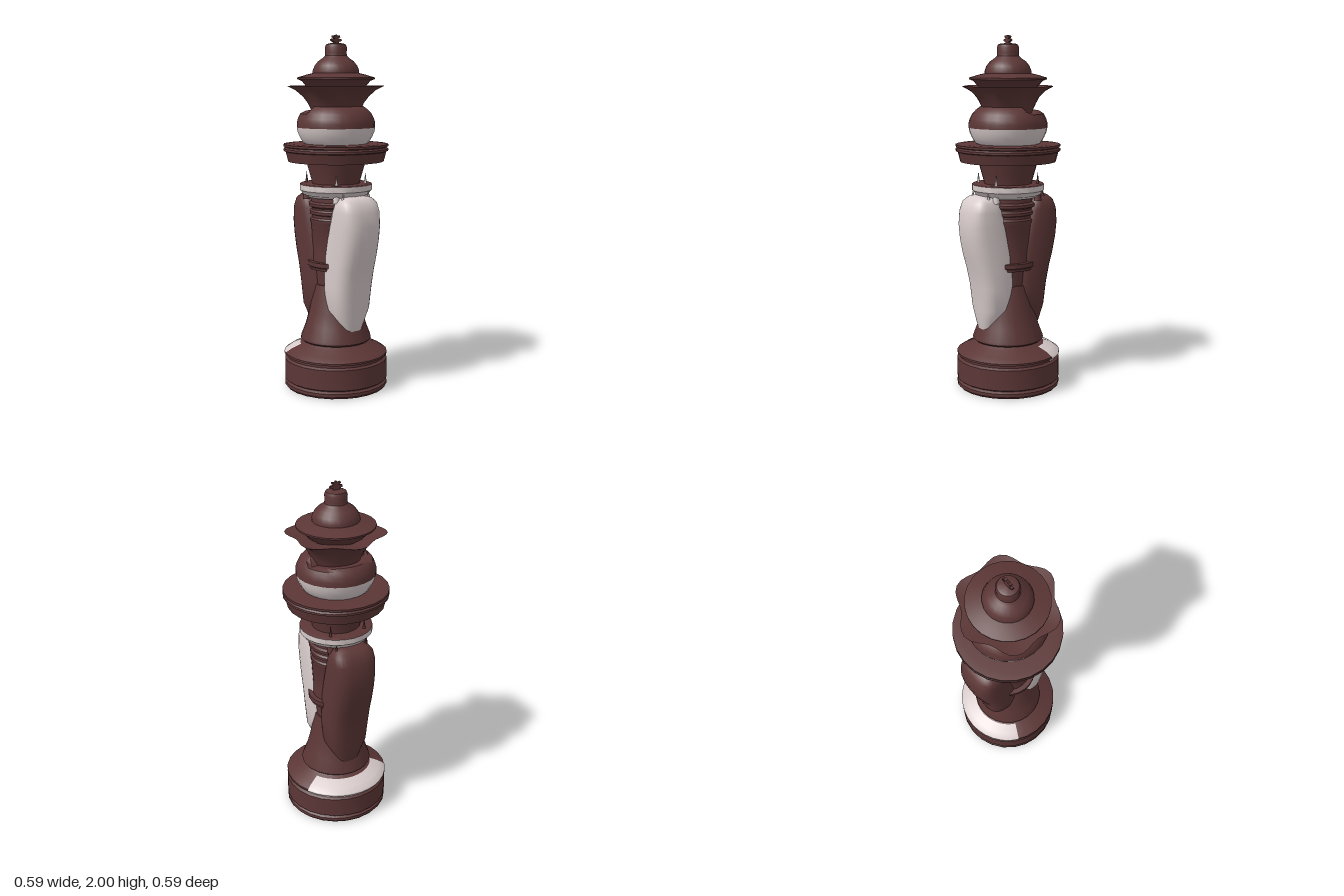
import * as THREE from 'three';
import { toCreasedNormals } from 'three/addons/utils/BufferGeometryUtils.js';

const dark = new THREE.MeshStandardMaterial({ color: 0x5c3636, side: THREE.DoubleSide });
const light = new THREE.MeshStandardMaterial({ color: 0xd9cccc, side: THREE.DoubleSide });
const grey = new THREE.MeshStandardMaterial({ color: 0xcccccc, side: THREE.DoubleSide });

export function createModel() {
  const root = new THREE.Group();

  const add = (name, geo, mat, parent = root) => {
    const mesh = new THREE.Mesh(geo, mat);
    mesh.name = name;
    parent.add(mesh);
    return mesh;
  };
  const lathe = (points, segments = 24, start = 0, sweep = Math.PI * 2) =>
    new THREE.LatheGeometry(points.map(([r, y]) => new THREE.Vector2(r, y)), segments, start, sweep);
  // Move every vertex of a geometry by a rule
  const reshape = (geo, rule) => {
    const p = geo.attributes.position, v = new THREE.Vector3();
    for (let i = 0; i < p.count; i++) {
      rule(v.fromBufferAttribute(p, i));
      p.setXYZ(i, v.x, v.y, v.z);
    }
    geo.computeVertexNormals();
    return geo;
  };
  const turned = (name, points, mat) => add(name, toCreasedNormals(lathe(points), 0.6), mat);

  // Base with grooves and sloping top
  turned('base', [[0.25, 0], [0.285, 0], [0.295, 0.012], [0.295, 0.03], [0.28, 0.04], [0.295, 0.05],
    [0.295, 0.165], [0.28, 0.175], [0.28, 0.188], [0.295, 0.192], [0.295, 0.203], [0.26, 0.225],
    [0.2, 0.25], [0.17, 0.27]], dark);
  turned('baseUnderside', [[0, 0.003], [0.25, 0.003]], grey);
  // Pale patch on the back of the base
  const from = THREE.MathUtils.degToRad(118), sweep = THREE.MathUtils.degToRad(127);
  add('basePatch', lathe([[0.283, 0.176], [0.283, 0.187], [0.297, 0.192], [0.297, 0.204], [0.261, 0.228],
    [0.205, 0.251]], 12, from, sweep), light);

  // Flaring foot of the stem
  turned('foot', [[0.17, 0.265], [0.192, 0.27], [0.203, 0.28], [0.2, 0.295], [0.175, 0.36],
    [0.154, 0.44], [0.137, 0.52], [0.12, 0.6], [0, 0.62]], dark);

  // Inner stem with cup and rings
  turned('stem', [[0.11, 0.55], [0.12, 0.69], [0.148, 0.69], [0.152, 0.705], [0.16, 0.71], [0.16, 0.735],
    [0.132, 0.735], [0.132, 0.8], [0.141, 0.95], [0.146, 0.96], [0.146, 0.975], [0.137, 0.985],
    [0.137, 1.0], [0.148, 1.005], [0.148, 1.02], [0.138, 1.03], [0.138, 1.04], [0.155, 1.05],
    [0.155, 1.065], [0.14, 1.075], [0.14, 1.11]], dark);
  turned('collar', [[0.13, 1.1], [0.16, 1.1], [0.17, 1.11], [0.185, 1.115], [0.198, 1.135],
    [0.205, 1.14], [0.205, 1.172]], light);
  turned('collarTop', [[0.205, 1.172], [0.195, 1.177], [0.13, 1.177]], dark);

  // Front and back figures: rows are [y, inner z, outer z, half width]
  const rows = [[0.3, 0.02, 0.165, 0.05], [0.38, 0.01, 0.187, 0.08], [0.47, 0, 0.2, 0.122],
    [0.6, 0, 0.215, 0.13], [0.7, 0, 0.237, 0.131], [0.78, 0.005, 0.26, 0.132], [0.87, 0.025, 0.278, 0.132],
    [0.95, 0.05, 0.285, 0.132], [1.03, 0.075, 0.277, 0.13], [1.08, 0.095, 0.256, 0.122],
    [1.105, 0.115, 0.225, 0.1], [1.115, 0.14, 0.2, 0.06], [1.117, 0.17, 0.17, 0.002]];
  const figureGeometry = () => {
    const n = 28, pos = [], index = [];
    const bend = t => Math.sign(t) * Math.abs(t) ** 0.7;
    rows.forEach(([y, zi, zo, w], i) => {
      for (let j = 0; j < n; j++) {
        const a = j / n * Math.PI * 2;
        pos.push(w * bend(Math.cos(a)), y, (zi + zo) / 2 + (zo - zi) / 2 * bend(Math.sin(a)));
        if (i === 0) continue;
        const k = (j + 1) % n, b = (i - 1) * n, t = i * n;
        index.push(b + j, t + j, t + k, b + j, t + k, b + k);
      }
    });
    const geo = new THREE.BufferGeometry();
    geo.setAttribute('position', new THREE.Float32BufferAttribute(pos, 3));
    geo.setIndex(index);
    geo.computeVertexNormals();
    return geo;
  };
  for (const [name, mat, turn] of [['frontFigure', light, 0], ['backFigure', dark, Math.PI]]) {
    const figure = new THREE.Group();
    figure.name = name;
    figure.rotation.y = turn;
    root.add(figure);
    add('body', figureGeometry(), mat, figure);
    for (const s of [-1, 1]) {
      const ear = add('ear', new THREE.ConeGeometry(0.027, 0.12, 10), mat, figure);
      ear.position.set(s * 0.097, 1.08, 0.175);
      ear.rotation.z = s * 0.12;
      const horn = add('horn', new THREE.ConeGeometry(0.022, 0.16, 10), mat, figure);
      horn.position.set(s * 0.105, 1.16, 0.133);
    }
  }

  // Bell neck and broad disc
  turned('neck', [[0.135, 1.17], [0.14, 1.2], [0.16, 1.27], [0.17, 1.31]], dark);
  turned('disc', [[0.16, 1.3], [0.27, 1.3], [0.284, 1.355], [0.295, 1.36], [0.295, 1.372], [0.286, 1.38],
    [0.295, 1.385], [0.295, 1.397], [0.26, 1.4], [0.15, 1.4]], dark);

  // Two-tone bulb, its top cut to a shelf at the back
  turned('bulbLower', [[0.17, 1.395], [0.185, 1.405], [0.203, 1.435], [0.216, 1.465], [0.221, 1.49]], light);
  const bulb = lathe([[0.221, 1.49], [0.221, 1.515], [0.214, 1.54], [0.2, 1.567], [0.18, 1.588],
    [0.155, 1.607], [0.12, 1.61]]);
  add('bulbUpper', toCreasedNormals(reshape(bulb, v => {
    if (v.z < -0.02) v.y = Math.min(v.y, 1.56 - 0.13 * v.z);
  }), 0.6), dark);

  // Six-pointed flaring crown
  const crown = lathe([[0.125, 1.55], [0.145, 1.6], [0.157, 1.625], [0.18, 1.66], [0.212, 1.695],
    [0.256, 1.72], [0.2, 1.712], [0.15, 1.705]], 48);
  add('crown', toCreasedNormals(reshape(crown, v => {
    const lobe = Math.cos(6 * Math.atan2(v.x, v.z));
    const k = 1 + 0.08 * lobe * THREE.MathUtils.smoothstep(v.y, 1.62, 1.72);
    v.x *= k;
    v.z *= k;
  }), 0.6), dark);

  // Brimmed cap and knob
  turned('cap', [[0.15, 1.7], [0.17, 1.72], [0.192, 1.747], [0.217, 1.757], [0.217, 1.766], [0.16, 1.783],
    [0.13, 1.79], [0.13, 1.803], [0.12, 1.83], [0.1, 1.855], [0.075, 1.872], [0.062, 1.885],
    [0.06, 1.9], [0.062, 1.93], [0.055, 1.947], [0.04, 1.953], [0, 1.955]], dark);

  // Flat finial plate
  const half = [[0.018, 1.95], [0.016, 1.96], [0.037, 1.968], [0.035, 1.977], [0.012, 1.98],
    [0.026, 1.987], [0.024, 1.996], [0.01, 1.993], [0.004, 2]];
  const outline = [...half, ...half.map(([x, y]) => [-x, y]).reverse()];
  const plate = new THREE.ExtrudeGeometry(new THREE.Shape(outline.map(([x, y]) => new THREE.Vector2(x, y))),
    { depth: 0.014, bevelEnabled: false });
  add('finial', plate.translate(0, 0, -0.007), dark);

  return root;
}
